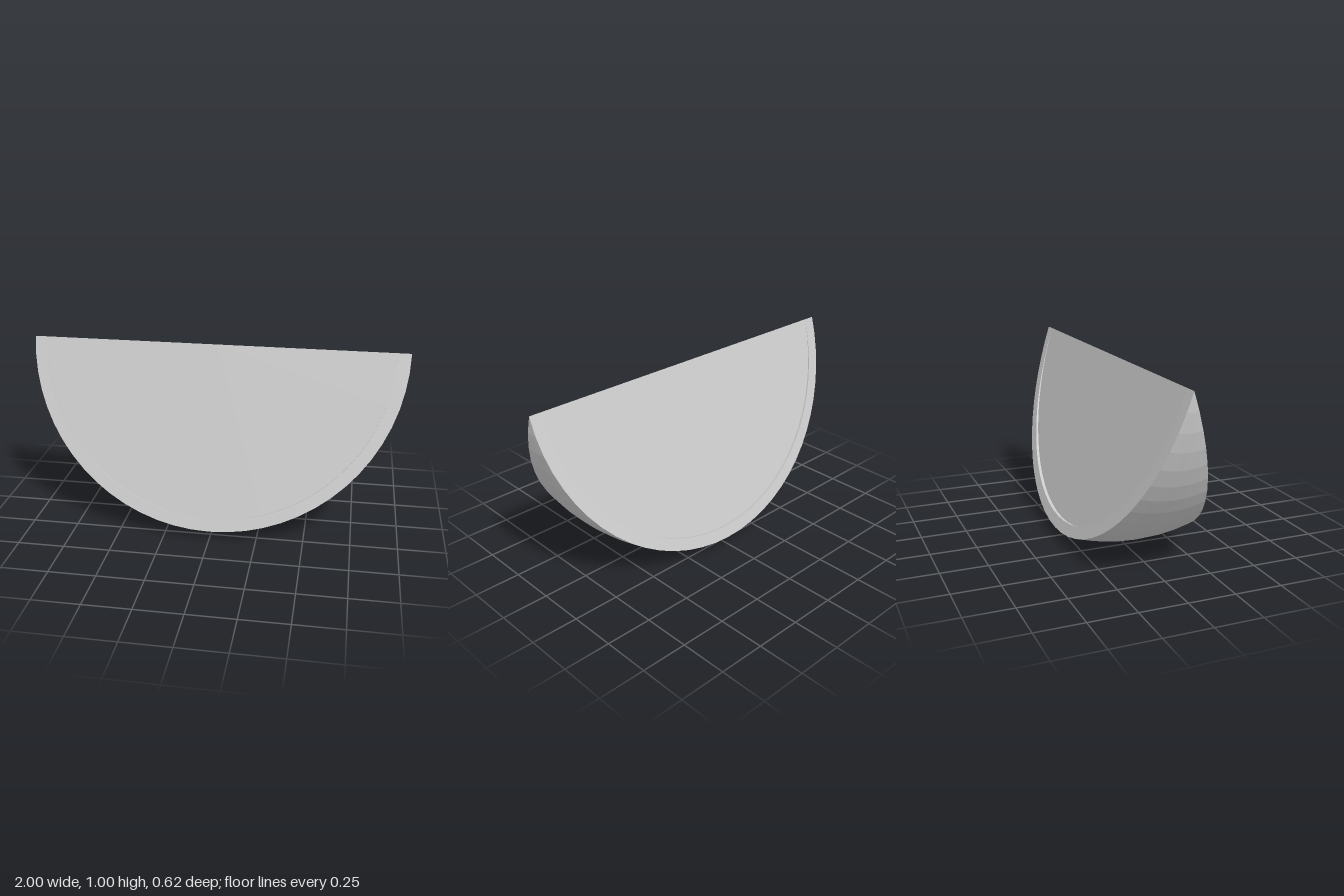
import * as THREE from 'three';

const RIND = THREE.MathUtils.degToRad(18);     // half angle of the rind
const FLESH = THREE.MathUtils.degToRad(16.8);  // half angle of the sunken flesh
const R = 1, INNER = 0.935, SEGMENTS = 32;

export function createModel() {
  const group = new THREE.Group();
  group.name = 'fruitSlice';
  const material = new THREE.MeshStandardMaterial({ color: 0xcccccc, flatShading: true });
  const wallMaterial = material.clone();
  wallMaterial.side = THREE.BackSide;

  const add = (name, geometry, mat = material) => {
    geometry.translate(0, 1, 0);
    const mesh = new THREE.Mesh(geometry, mat);
    mesh.name = name;
    group.add(mesh);
  };

  // Part of a sphere with its poles on the x axis; angle 0 points straight down
  const sphereStrip = (radius, start, length, steps) =>
    new THREE.SphereGeometry(radius, steps, SEGMENTS, start, length).rotateZ(Math.PI / 2);

  // Curved skin
  add('rindSkin', sphereStrip(R, -RIND, 2 * RIND, 6));

  // Both cut sides: rind edge, sunken flesh and the small step between them
  for (const [side, turn] of [['front', 0], ['back', Math.PI]]) {
    add(side + 'RindEdge', new THREE.RingGeometry(INNER, R, SEGMENTS, 1, Math.PI, Math.PI)
      .rotateX(-RIND).rotateY(turn));
    add(side + 'Flesh', new THREE.CircleGeometry(INNER, SEGMENTS, Math.PI, Math.PI)
      .rotateX(-FLESH).rotateY(turn));
    add(side + 'RindStep', sphereStrip(INNER, FLESH, RIND - FLESH, 1).rotateY(turn), wallMaterial);
  }
  return group;
}
